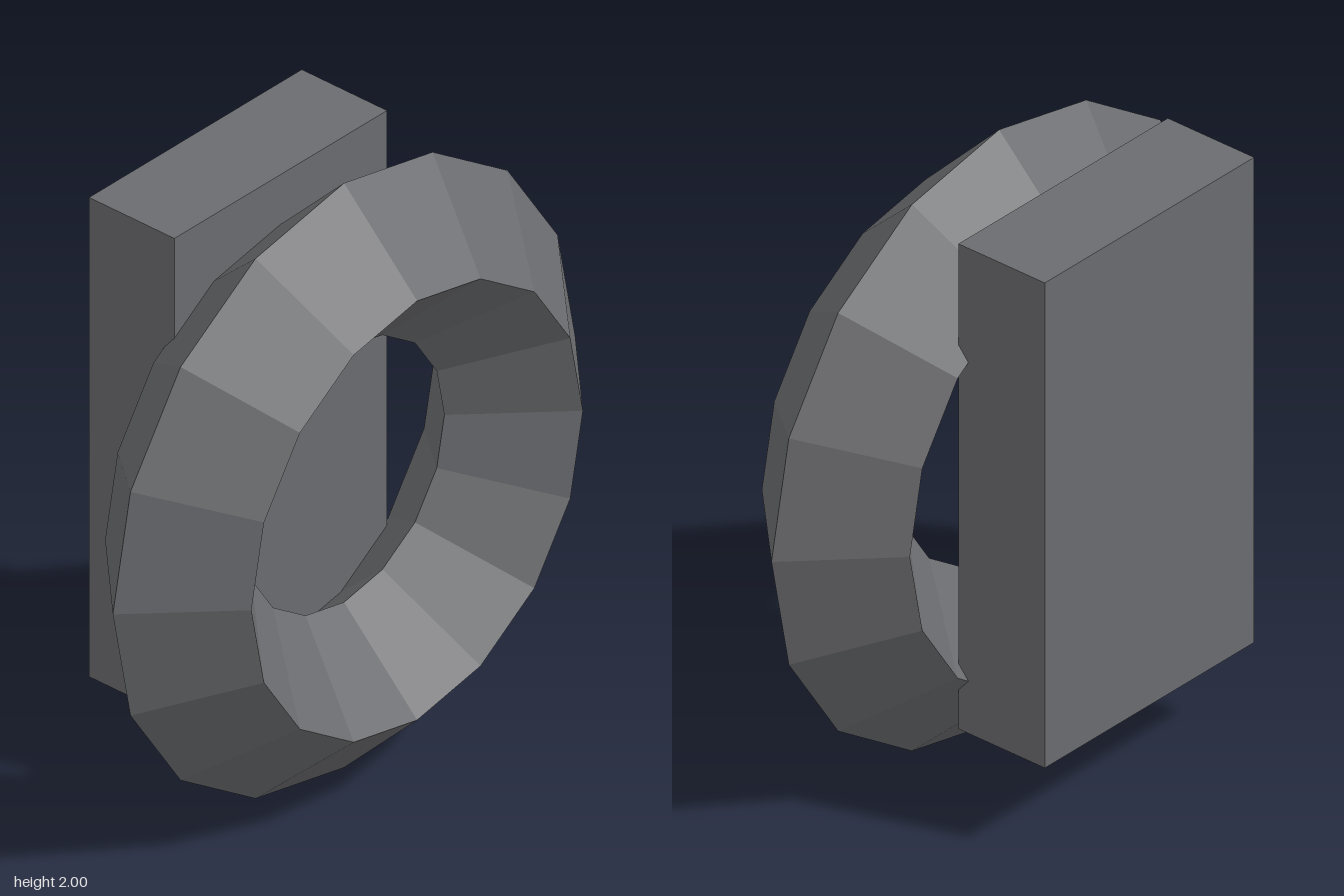
import * as THREE from 'three';

export function createModel() {
  const model = new THREE.Group();
  const darkGrey = new THREE.MeshStandardMaterial({ color: 0x6b6c6f, flatShading: true });
  darkGrey.name = 'dark grey';

  // Faceted ring with a diamond cross-section, facing along x
  const ring = new THREE.Mesh(new THREE.TorusGeometry(0.717, 0.283, 4, 16), darkGrey);
  ring.name = 'ring';
  ring.rotation.y = Math.PI / 2;
  ring.position.set(0.145, 1, 0);

  // Upright mounting block, slightly overlapping the ring
  const block = new THREE.Mesh(new THREE.BoxGeometry(0.33, 1.64, 0.92), darkGrey);
  block.name = 'mountingBlock';
  block.position.set(-0.265, 1.105, 0);

  model.add(ring, block);
  return model;
}
